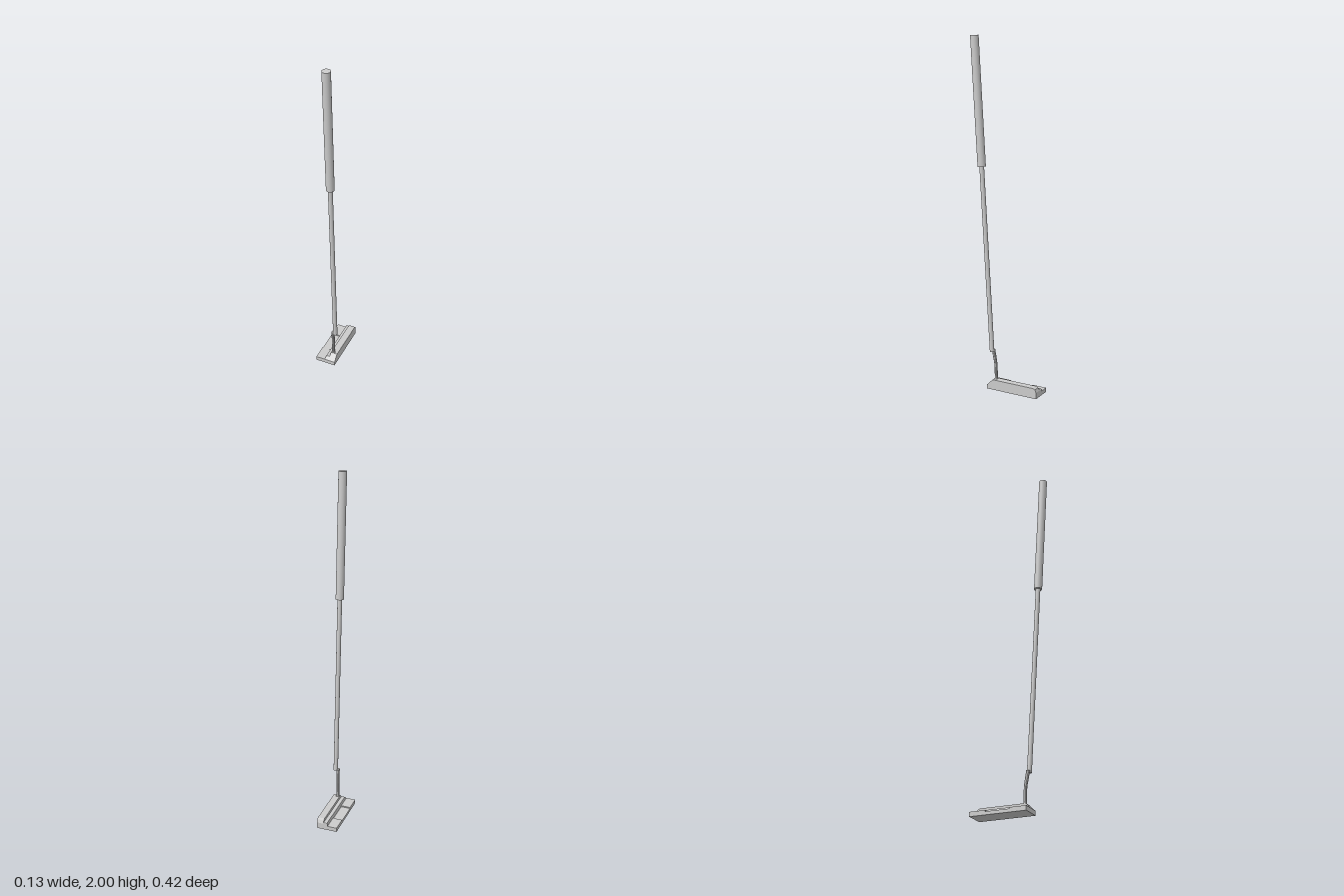
import * as THREE from 'three';

const mat = new THREE.MeshStandardMaterial({ color: 0xcccccc, side: THREE.DoubleSide });
const flat = new THREE.MeshStandardMaterial({ color: 0xcccccc, flatShading: true, side: THREE.DoubleSide });

const V = (x, y, z) => new THREE.Vector3(x, y, z);

function add(group, name, geometry, material = flat) {
  const mesh = new THREE.Mesh(geometry, material);
  mesh.name = name;
  group.add(mesh);
  return mesh;
}

// Side profile given as [z, y] pairs, extruded from x0 to x1
function slab(profile, x0, x1) {
  const shape = new THREE.Shape(profile.map(([z, y]) => new THREE.Vector2(-z, y)));
  const g = new THREE.ExtrudeGeometry(shape, { depth: x1 - x0, bevelEnabled: false });
  g.rotateY(Math.PI / 2);
  g.translate(x0, 0, 0);
  return g;
}

// Straight round rod between two points
function rod(a, b, r, sides) {
  const d = b.clone().sub(a);
  const g = new THREE.CylinderGeometry(r, r, d.length(), sides);
  g.applyQuaternion(new THREE.Quaternion().setFromUnitVectors(V(0, 1, 0), d.normalize()));
  g.translate((a.x + b.x) / 2, (a.y + b.y) / 2, (a.z + b.z) / 2);
  return g;
}

// Loft of horizontal chamfered rectangles: [x, y, z, halfX, halfZ]
function loft(sections) {
  const ring = [[1, 0.5], [0.5, 1], [-0.5, 1], [-1, 0.5], [-1, -0.5], [-0.5, -1], [0.5, -1], [1, -0.5]];
  const n = ring.length, pos = [], idx = [];
  for (const [x, y, z, hx, hz] of sections)
    for (const [u, v] of ring) pos.push(x + u * hx, y, z + v * hz);
  for (let s = 0; s < sections.length - 1; s++)
    for (let i = 0; i < n; i++) {
      const a = s * n + i, b = s * n + (i + 1) % n;
      idx.push(a, a + n, b, b, a + n, b + n);
    }
  const top = (sections.length - 1) * n;
  for (let i = 1; i < n - 1; i++) idx.push(0, i, i + 1, top, top + i + 1, top + i);
  const g = new THREE.BufferGeometry();
  g.setAttribute('position', new THREE.Float32BufferAttribute(pos, 3));
  g.setIndex(idx);
  g.computeVertexNormals();
  return g;
}

export function createModel() {
  const model = new THREE.Group();
  model.name = 'putter';

  // Head: striking blade, stepped ridge and rear flange
  const head = new THREE.Group();
  head.name = 'head';
  model.add(head);
  add(head, 'blade', slab([[0.108, 0], [0.108, 0.025], [0.072, 0.06], [-0.19, 0.06],
    [-0.202, 0.054], [-0.21, 0.037], [-0.21, 0]], 0.013, 0.053));

  const ridge = slab([[0.108, 0], [0.108, 0.025], [0.09, 0.042], [-0.207, 0.042],
    [-0.21, 0.037], [-0.21, 0]], -0.012, 0.013);
  // Lean the rear wall of the ridge
  const p = ridge.attributes.position;
  for (let i = 0; i < p.count; i++)
    if (p.getX(i) < 0 && p.getY(i) > 0.04) p.setX(i, -0.008);
  ridge.computeVertexNormals();
  add(head, 'ridge', ridge);

  // Flange with a shallow recess in the middle
  add(head, 'flange', slab([[0.108, 0], [0.108, 0.025], [0.018, 0.025], [0.018, 0.018],
    [-0.12, 0.018], [-0.12, 0.025], [-0.21, 0.025], [-0.21, 0]], -0.068, -0.012));

  // Bent neck, flared where it meets the blade
  add(model, 'neck', loft([
    [0.027, 0.055, 0.062, 0.013, 0.011],
    [0.026, 0.066, 0.062, 0.008, 0.008],
    [0.026, 0.15, 0.065, 0.008, 0.008],
    [0.028, 0.19, 0.071, 0.008, 0.009],
    [0.029, 0.225, 0.077, 0.008, 0.009],
    [0.031, 0.237, 0.078, 0.010, 0.010],
  ]));

  // Shaft and grip lie on one tilted axis
  const foot = V(0.045, 0.228, 0.079), end = V(0.043, 1.999, 0.183);
  const gripStart = foot.clone().lerp(end, 0.6);
  add(model, 'shaft', rod(foot, gripStart.clone().lerp(end, 0.05), 0.013, 20), mat);
  add(model, 'grip', rod(gripStart, end, 0.023, 24), mat);

  return model;
}
